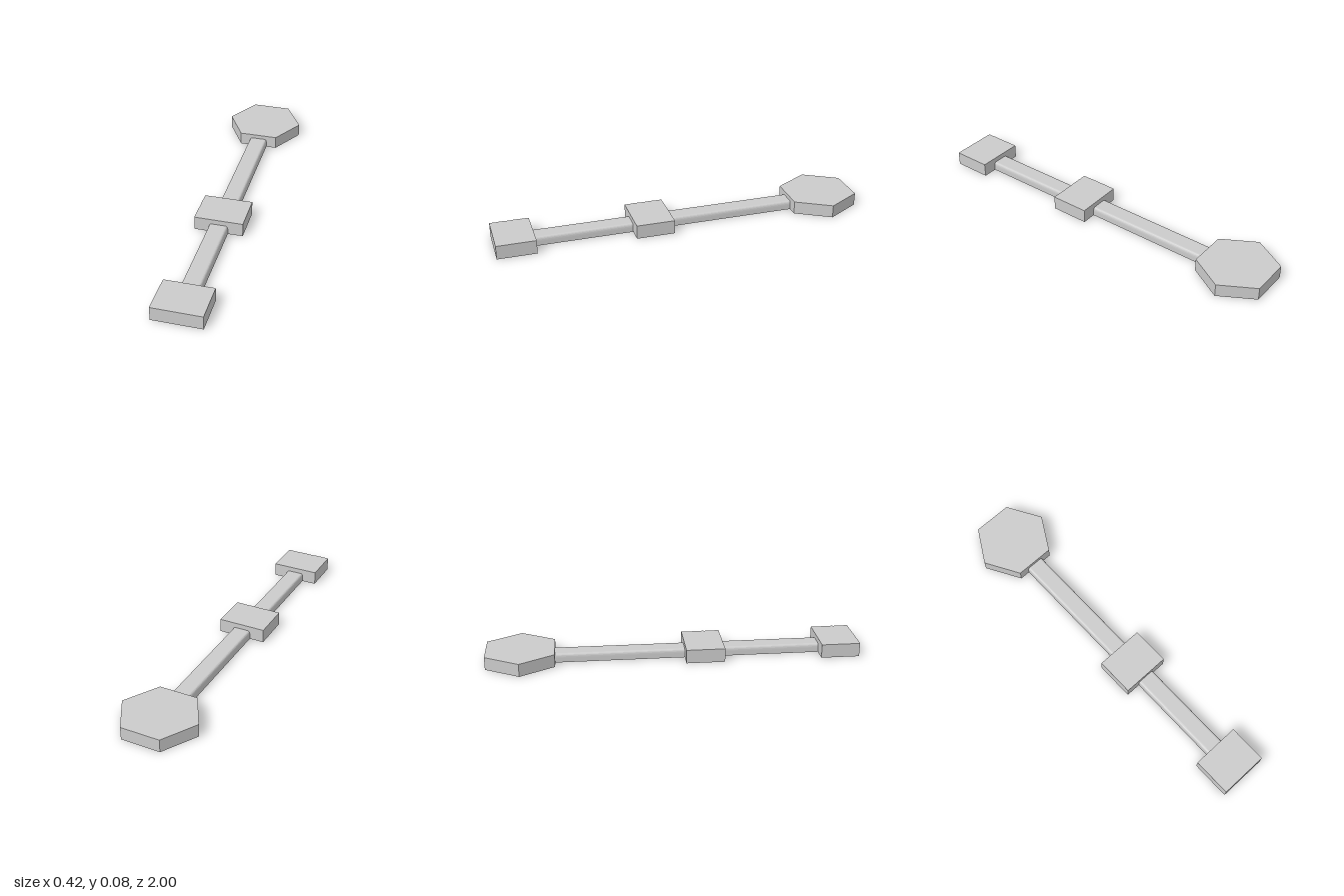
import * as THREE from 'three';

export function createModel() {
  const model = new THREE.Group();
  const stone = new THREE.MeshStandardMaterial({ color: 0xcccccc, flatShading: true });
  const inlay = new THREE.MeshStandardMaterial({ color: 0xffffff, flatShading: true });

  const add = (parent, name, geometry, material, x, y, z) => {
    const mesh = new THREE.Mesh(geometry, material);
    mesh.name = name;
    mesh.position.set(x, y, z);
    parent.add(mesh);
    return mesh;
  };
  const group = (name) => {
    const g = new THREE.Group();
    g.name = name;
    model.add(g);
    return g;
  };
  // Thin upward-facing inlay
  const flat = (w, d) => new THREE.PlaneGeometry(w, d).rotateX(-Math.PI / 2);

  // Rectangular platform with a checkered top
  function platform(name, z) {
    const g = group(name);
    const w = 0.26, h = 0.075, d = 0.208, cols = 6, rows = 5;
    add(g, 'platformBlock', new THREE.BoxGeometry(w, h, d), stone, 0, h / 2, z);
    const tile = flat(w / cols, d / rows);
    for (let i = 0; i < cols; i++) {
      for (let j = 0; j < rows; j++) {
        if ((i + j) % 2 === 0) continue;
        add(g, 'checkerTile', tile, inlay,
          ((i + 0.5) / cols - 0.5) * w, h + 0.0008, z + ((j + 0.5) / rows - 0.5) * d);
      }
    }
  }
  platform('frontPlatform', 0.896);
  platform('middlePlatform', 0.164);

  // Walkway with rounded upper edges and two rows of dashes
  function walkway(name, z0, z1, dashes) {
    const g = group(name);
    const h = 0.048, half = 0.05;
    const section = new THREE.Shape();
    section.moveTo(-half, 0);
    section.lineTo(half, 0);
    section.lineTo(half, 0.026);
    section.quadraticCurveTo(half, h, 0.036, h);
    section.lineTo(-0.036, h);
    section.quadraticCurveTo(-half, h, -half, 0.026);
    section.closePath();
    const beam = new THREE.ExtrudeGeometry(section, { depth: z1 - z0, bevelEnabled: false, curveSegments: 5 });
    add(g, 'walkwayBeam', beam, stone, 0, 0, z0);
    const dash = flat(0.02, 0.05);
    const pitch = (z1 - z0) / dashes;
    for (let i = 0; i < dashes; i++) {
      for (const x of [-0.022, 0.022]) {
        add(g, 'walkwayDash', dash, inlay, x, h + 0.0008, z0 + (i + 0.5) * pitch);
      }
    }
  }
  walkway('rearWalkway', -0.64, 0.06, 7);
  walkway('frontWalkway', 0.268, 0.792, 5);

  // Hexagonal platform with concentric rings
  const hex = group('hexagonalPlatform');
  const radius = 0.211, height = 0.07, zHex = -0.817, bands = 8;
  add(hex, 'hexagonBlock',
    new THREE.CylinderGeometry(radius, radius, height, 6, 1, false, Math.PI / 6), stone, 0, height / 2, zHex);
  for (let i = 0; i < bands; i += 2) {
    const r0 = radius * i / bands, r1 = radius * (i + 1) / bands;
    const ring = i === 0 ? new THREE.CircleGeometry(r1, 6) : new THREE.RingGeometry(r0, r1, 6);
    add(hex, 'hexagonRing', ring.rotateX(-Math.PI / 2), inlay, 0, height + 0.0008, zHex);
  }

  return model;
}
